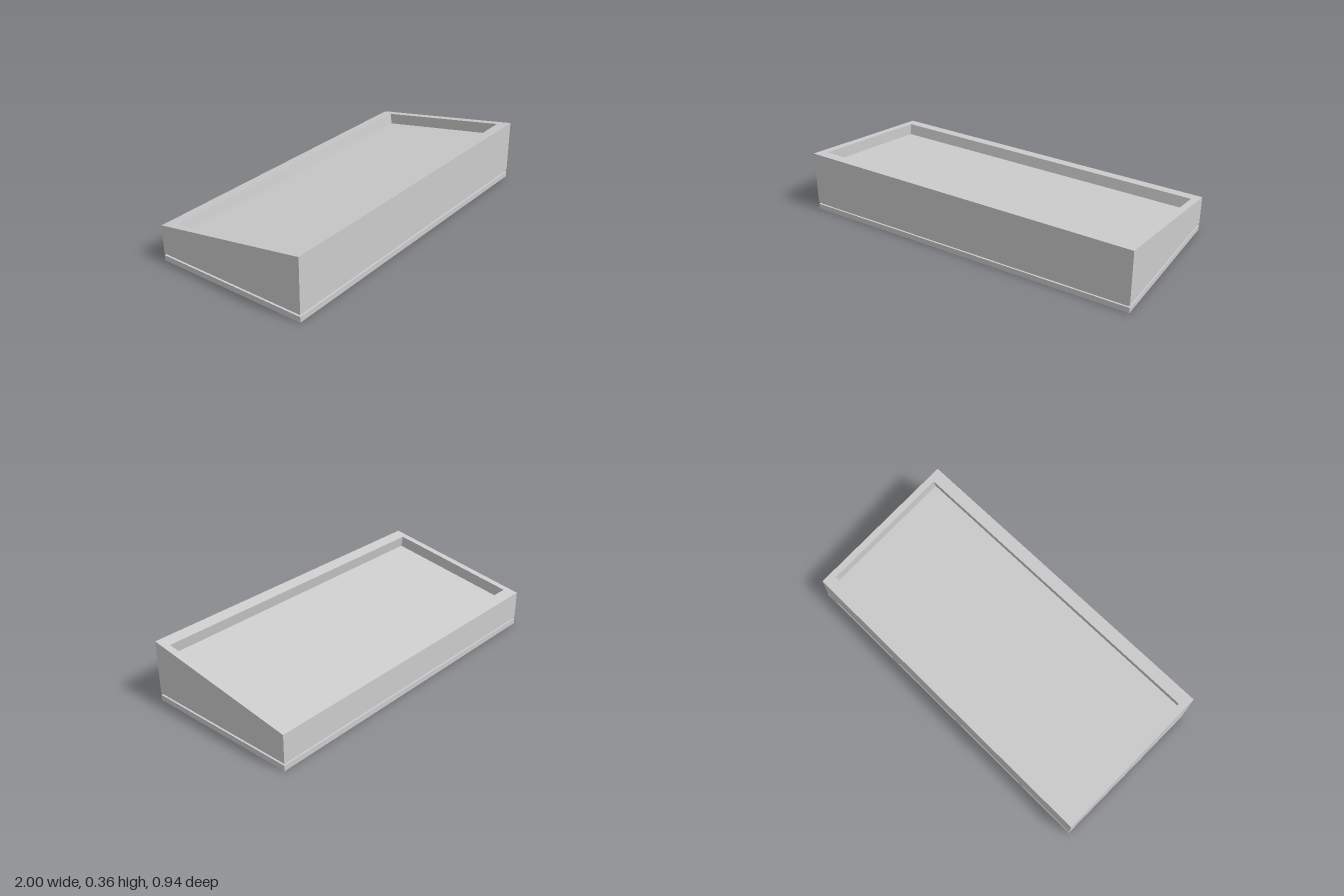
import * as THREE from 'three';

const HALF_X = 1, HALF_Z = 0.468;
const BASE_TOP = 0.032, CASE_BOTTOM = 0.044;
const FRONT_H = 0.361, BACK_H = 0.211;
const SLOPE = (FRONT_H - BACK_H) / (2 * HALF_Z);

const material = new THREE.MeshStandardMaterial({ color: 0xcccccc, flatShading: true });

// Four corners, counter-clockwise from above, with height as a function of z
function ring(hx, hz, heightAt) {
  return [[hx, hz], [hx, -hz], [-hx, -hz], [-hx, hz]]
    .map(([x, z]) => new THREE.Vector3(x, heightAt(z), z));
}

// Joins successive rings with walls and closes both ends
function loft(rings) {
  const points = [], index = [];
  rings.forEach((r, k) => {
    r.forEach(p => points.push(p));
    if (k === 0) return;
    for (let i = 0; i < 4; i++) {
      const j = (i + 1) % 4, a = (k - 1) * 4, b = k * 4;
      index.push(a + i, a + j, b + j, a + i, b + j, b + i);
    }
  });
  const e = (rings.length - 1) * 4;
  index.push(0, 2, 1, 0, 3, 2, e, e + 1, e + 2, e, e + 2, e + 3);
  const indexed = new THREE.BufferGeometry().setFromPoints(points);
  indexed.setIndex(index);
  const geometry = indexed.toNonIndexed();
  geometry.computeVertexNormals();
  return geometry;
}

function addPart(group, name, geometry, y = 0) {
  const mesh = new THREE.Mesh(geometry, material);
  mesh.name = name;
  mesh.position.y = y;
  group.add(mesh);
}

export function createModel() {
  const group = new THREE.Group();
  group.name = 'slopedTray';

  // Flat base plate
  addPart(group, 'basePlate',
    new THREE.BoxGeometry(2 * HALF_X, BASE_TOP, 2 * HALF_Z), BASE_TOP / 2);

  // Inset neck forming the shadow gap
  addPart(group, 'shadowGap',
    new THREE.BoxGeometry(2 * HALF_X - 0.024, CASE_BOTTOM - BASE_TOP, 2 * HALF_Z - 0.02),
    (BASE_TOP + CASE_BOTTOM) / 2);

  // Wedge casing; the recess is sunk at right angles to the sloping top
  const topAt = z => (FRONT_H + BACK_H) / 2 + SLOPE * z;
  const rim = ring(0.96, 0.397, topAt);
  const sink = new THREE.Vector3(0, -1, SLOPE).normalize().multiplyScalar(0.067);
  const floor = rim.map(p => p.clone().add(sink));
  addPart(group, 'wedgeCasing', loft([
    ring(HALF_X, HALF_Z, () => CASE_BOTTOM),
    ring(HALF_X, HALF_Z, topAt),
    rim,
    floor,
  ]));

  return group;
}
